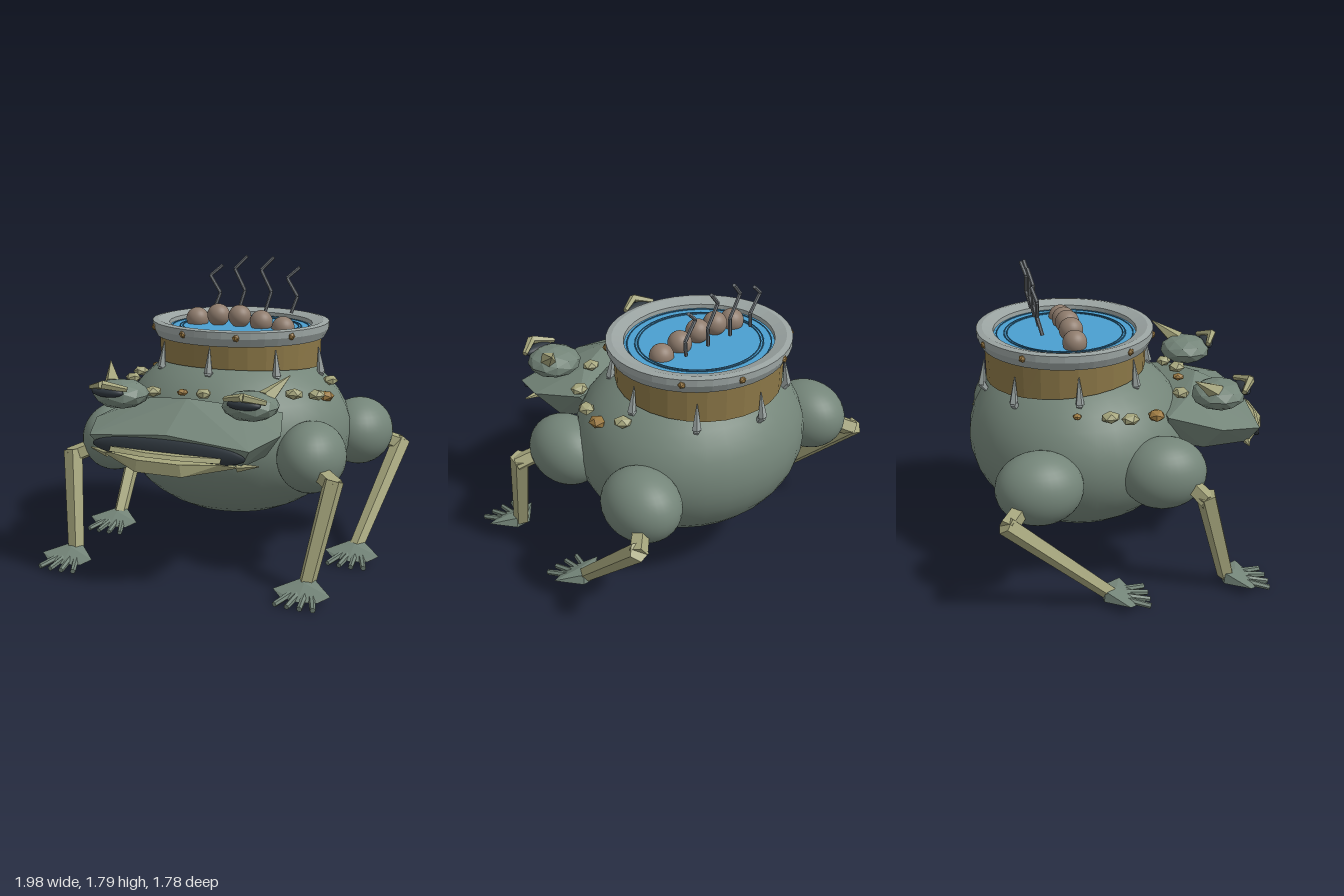
import * as THREE from 'three';
import { ConvexGeometry } from 'three/addons/geometries/ConvexGeometry.js';

const V = (x, y, z) => new THREE.Vector3(x, y, z);

function mat(name, color, flat = false) {
  const m = new THREE.MeshStandardMaterial({ color, flatShading: flat });
  m.name = name;
  return m;
}

export function createModel() {
  const root = new THREE.Group();
  root.name = 'cauldronToad';

  const skin = mat('mossSkin', 0x748579);
  const bone = mat('bone', 0xa5a57c);
  const ochre = mat('ochre', 0x9c7a42);
  const brass = mat('oldBrass', 0x8b7747);
  const metal = mat('greyMetal', 0x9aa3a1);
  const steam = mat('steamGrey', 0x70757a);
  const dark = mat('darkSlate', 0x2f373e);
  const water = mat('waterBlue', 0x4b9fd0);
  const ripple = mat('rippleBlue', 0x2f6f98);
  const dumpling = mat('dumplingBrown', 0x8f7c6d);

  // flat geometry gets unshared corners so that facets stay crisp
  const facet = (g) => {
    const f = g.index ? g.toNonIndexed() : g;
    f.computeVertexNormals();
    return f;
  };
  const add = (name, geo, material, parent = root) => {
    const m = new THREE.Mesh(geo, material);
    m.name = name;
    parent.add(m);
    return m;
  };
  const ball = (name, material, p, s, parent = root) => {
    const m = add(name, new THREE.SphereGeometry(1, 32, 20), material, parent);
    m.position.set(...p);
    m.scale.set(...s);
    return m;
  };
  // tapered faceted rod from a to b
  const rod = (name, a, b, ra, rb, sides, material, parent = root) => {
    const d = b.clone().sub(a);
    const m = add(name, facet(new THREE.CylinderGeometry(rb, ra, d.length(), sides)), material, parent);
    m.position.copy(a).addScaledVector(d, 0.5);
    m.quaternion.setFromUnitVectors(V(0, 1, 0), d.normalize());
    return m;
  };
  const hull = (name, pts, material, parent = root) =>
    add(name, facet(new ConvexGeometry(pts.map((p) => V(...p)))), material, parent);
  // each [x, y, z] becomes itself and its mirror image
  const mirrored = (pts) => pts.flatMap(([x, y, z]) => (x ? [[x, y, z], [-x, y, z]] : [[0, y, z]]));

  // Body
  ball('body', skin, [0, 0.755, -0.235], [0.73, 0.535, 0.66]);

  // Head and jaw
  hull('head', mirrored([
    [0, 1.08, 0.5], [0.28, 1.04, 0.4], [0.48, 0.98, 0.22], [0.58, 0.92, 0.52], [0.49, 0.88, 0.77],
    [0, 0.93, 0.79], [0.46, 0.77, 0.44], [0.42, 0.77, 0.72], [0.3, 0.76, 0.25],
  ]), skin);
  ball('mouth', dark, [0, 0.835, 0.77], [0.47, 0.07, 0.035]);
  hull('lowerJaw', mirrored([
    [0.42, 0.775, 0.74], [0.14, 0.73, 0.89], [0.13, 0.8, 0.89], [0.33, 0.8, 0.81],
    [0, 0.665, 0.68], [0.3, 0.72, 0.46], [0.32, 0.76, 0.46],
  ]), bone);
  hull('lowerLip', mirrored([
    [0.34, 0.835, 0.8], [0.34, 0.81, 0.82], [0.1, 0.815, 0.87], [0.1, 0.835, 0.85], [0.3, 0.8, 0.76],
  ]), bone);

  // Limbs, eyes and horns on both sides
  const foot = (name, x, z, parent) => {
    const g = new THREE.Group();
    g.name = name;
    g.position.set(x, 0, z);
    parent.add(g);
    hull('footPad', mirrored([
      [0.17, 0.06, 0.02], [0.04, 0.1, -0.1], [0.05, 0.04, -0.11], [0.11, 0.03, 0.06], [0, 0.03, 0.09], [0, 0.1, -0.03],
    ]), skin, g);
    for (const t of [-1.5, -0.5, 0.5, 1.5]) {
      rod('toe', V(t * 0.035, 0.05, 0), V(t * 0.075, 0.022, 0.165 - Math.abs(t) * 0.01), 0.02, 0.016, 6, skin, g);
    }
  };
  for (const s of [1, -1]) {
    const side = new THREE.Group();
    side.name = s > 0 ? 'leftSide' : 'rightSide';
    root.add(side);

    ball('frontShoulder', skin, [0.64 * s, 0.715, 0.16], [0.2, 0.21, 0.25], side);
    ball('rearHaunch', skin, [0.71 * s, 0.715, -0.565], [0.21, 0.21, 0.25], side);
    rod('frontUpperLeg', V(0.68 * s, 0.69, 0.27), V(0.86 * s, 0.61, 0.37), 0.05, 0.055, 5, bone, side);
    rod('frontShin', V(0.84 * s, 0.65, 0.36), V(0.745 * s, 0.07, 0.52), 0.06, 0.05, 5, bone, side);
    rod('rearUpperLeg', V(0.8 * s, 0.67, -0.66), V(0.93 * s, 0.6, -0.77), 0.05, 0.055, 5, bone, side);
    rod('rearShin', V(0.93 * s, 0.62, -0.78), V(0.82 * s, 0.07, -0.19), 0.058, 0.045, 5, bone, side);
    foot('frontFoot', 0.75 * s, 0.605, side);
    foot('rearFoot', 0.82 * s, -0.12, side);

    const eye = add('eyeMound', facet(new THREE.IcosahedronGeometry(1, 1)), skin, side);
    eye.position.set(0.405 * s, 1.08, 0.535);
    eye.scale.set(0.165, 0.085, 0.16);
    ball('pupil', dark, [0.42 * s, 1.115, 0.675], [0.1, 0.03, 0.04], side);
    const lid = [V(0.54 * s, 1.13, 0.65), V(0.43 * s, 1.165, 0.72), V(0.3 * s, 1.135, 0.66)];
    rod('eyelidOuter', lid[0], lid[1], 0.016, 0.026, 5, bone, side);
    rod('eyelidInner', lid[1], lid[2], 0.026, 0.016, 5, bone, side);
    rod('browHorn', V(0.48 * s, 1.12, 0.5), V(0.57 * s, 1.23, 0.35), 0.055, 0.002, 5, bone, side);
    rod('cheekSpur', V(0.4 * s, 0.77, 0.72), V(0.52 * s, 0.785, 0.7), 0.025, 0.004, 5, bone, side);
  }

  // Warts across the shoulders: x, y, z, size, ochre?
  [
    [-0.62, 1.07, -0.145, 0.055], [-0.62, 1.05, -0.03, 0.055], [-0.545, 1.03, 0.135, 0.058, 1],
    [-0.3, 1.06, 0.335, 0.055], [-0.09, 1.08, 0.37, 0.036, 1], [0.055, 1.09, 0.395, 0.055],
    [0.26, 1.06, 0.36, 0.052], [0.525, 1.08, 0.16, 0.055], [0.61, 1.05, 0, 0.056],
    [0.63, 1.02, -0.12, 0.056, 1], [0.595, 1.08, -0.295, 0.055], [-0.6, 1.08, -0.33, 0.03, 1],
  ].forEach(([x, y, z, r, o], i) => {
    const w = add('wart', facet(new THREE.IcosahedronGeometry(1, 0)), o ? ochre : bone);
    w.position.set(x, y, z);
    w.scale.set(r * 0.9, r * 0.6, r * 1.05);
    w.rotation.y = i * 0.7;
  });

  // Cauldron, slightly narrower front to back
  const pot = new THREE.Group();
  pot.name = 'cauldron';
  pot.position.z = -0.305;
  pot.scale.z = 0.94;
  root.add(pot);

  // collar whose lower edge dips towards the back
  const collar = new THREE.CylinderGeometry(0.51, 0.505, 0.2, 28);
  const cp = collar.attributes.position;
  for (let i = 0; i < cp.count; i++) {
    cp.setY(i, cp.getY(i) > 0 ? 1.345 : 1.155 + cp.getZ(i) * 0.07);
  }
  add('collar', facet(collar), brass, pot);

  const rim = [[0.49, 1.33], [0.53, 1.33], [0.556, 1.38], [0.556, 1.42], [0.52, 1.427], [0.45, 1.405], [0.445, 1.345]]
    .map(([x, y]) => new THREE.Vector2(x, y));
  add('rim', facet(new THREE.LatheGeometry(rim, 40)), metal, pot);

  const surface = add('water', new THREE.CylinderGeometry(0.452, 0.452, 0.03, 48), water, pot);
  surface.position.y = 1.365;
  for (const r of [0.365, 0.382, 0.43]) {
    const ring = add('ripple', new THREE.TorusGeometry(r, 0.004, 6, 56), ripple, pot);
    ring.rotation.x = Math.PI / 2;
    ring.position.y = 1.381;
  }

  // Rim rivets
  for (const deg of [36, 72, 108, 144, 216, 252, 288, 324]) {
    const a = THREE.MathUtils.degToRad(deg);
    const rivet = add('rivet', facet(new THREE.IcosahedronGeometry(0.024, 0)), ochre, pot);
    rivet.position.set(Math.cos(a) * 0.55, 1.388, Math.sin(a) * 0.55);
  }
  // Claws clasping the collar
  for (let i = 0; i < 8; i++) {
    const a = (i * Math.PI) / 4;
    const c = Math.cos(a), s = Math.sin(a), dip = s * 0.04;
    rod('claw', V(c * 0.535, 1.125 + dip, s * 0.535), V(c * 0.515, 1.28 + dip, s * 0.515), 0.028, 0.003, 5, metal, pot);
    rod('clawHook', V(c * 0.535, 1.13 + dip, s * 0.535), V(c * 0.5, 1.08 + dip, s * 0.5), 0.028, 0.015, 5, metal, pot);
  }

  // Floating dumplings
  [1.41, 1.44, 1.44, 1.415, 1.385].forEach((y, i) =>
    ball('dumpling', dumpling, [(i - 2) * 0.144, y, -0.29], [0.071, 0.071, 0.071]));

  // Zigzag wisps of steam
  [[-0.25, 1.725], [-0.08, 1.79], [0.1, 1.79], [0.275, 1.735]].forEach(([x, top]) => {
    const h = top - 1.45;
    const pts = [
      V(x, 1.45, -0.47), V(x + 0.032, 1.45 + h * 0.37, -0.495),
      V(x - 0.04, 1.45 + h * 0.76, -0.5), V(x + 0.036, top, -0.522),
    ];
    for (let i = 0; i < 3; i++) rod('steamWisp', pts[i], pts[i + 1], 0.011, 0.011, 6, steam);
  });

  return root;
}
